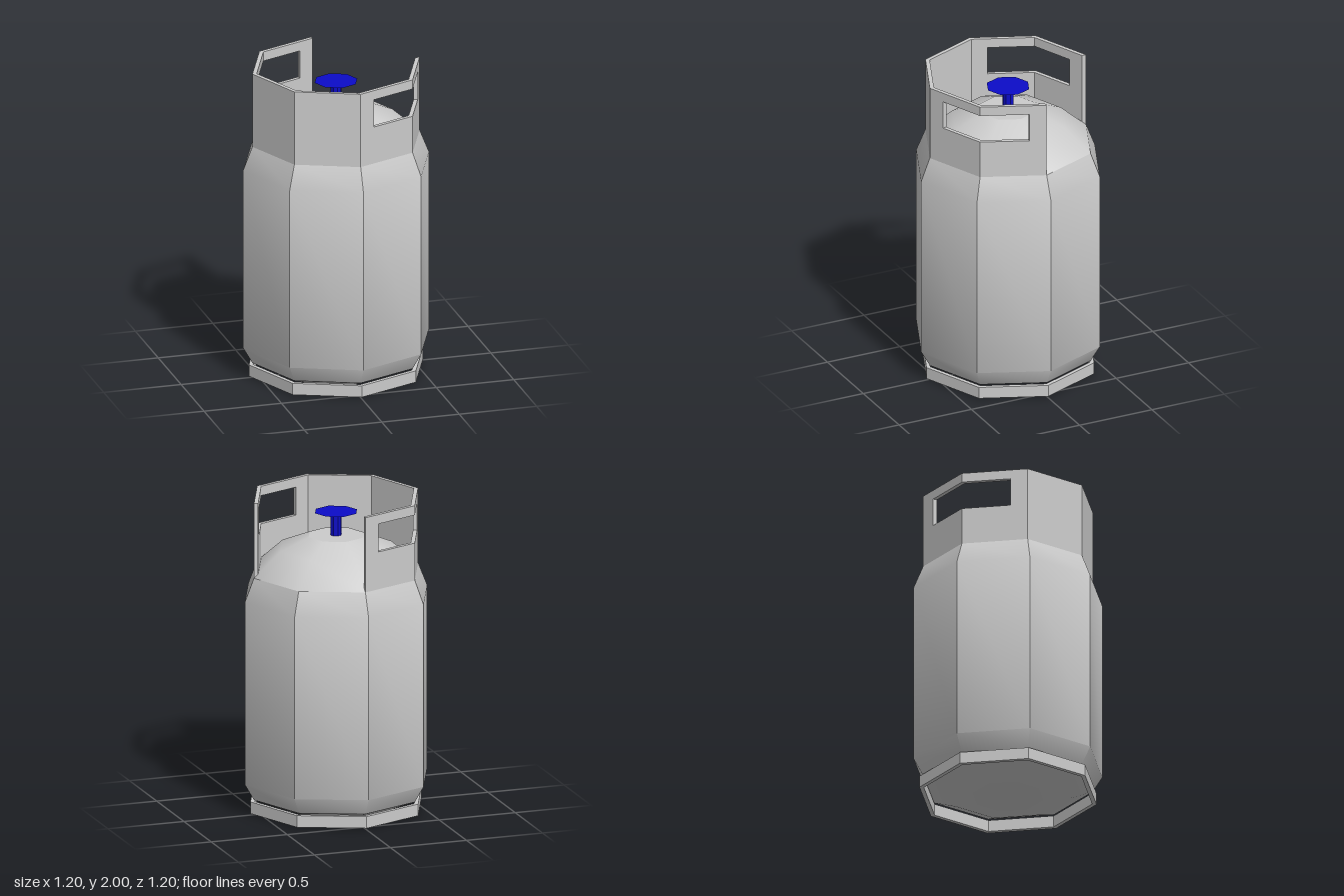
import * as THREE from 'three';
import { toCreasedNormals } from 'three/addons/utils/BufferGeometryUtils.js';

const SIDES = 8;
const grey = new THREE.MeshStandardMaterial({ color: 0xcccccc });
const blue = new THREE.MeshStandardMaterial({ color: 0x0c0cc8 });

function add(parent, name, geometry, material = grey, y = 0) {
  const mesh = new THREE.Mesh(geometry, material);
  mesh.name = name;
  mesh.position.y = y;
  parent.add(mesh);
  return mesh;
}

// Eight-sided turned part; upright corners stay sharp, shallow bends smooth
function turned(profile) {
  const points = profile.map(([r, y]) => new THREE.Vector2(r, y));
  return toCreasedNormals(new THREE.LatheGeometry(points, SIDES), 0.7);
}

// Guard collar: a grid of wall cells around six of the eight sides, two with a handle window
function collarGeometry() {
  const outer = 0.54, inner = 0.512;
  const stations = [0, 0.26, 1, 1.74, 2, 3, 4, 4.26, 5, 5.74, 6];
  const rows = [1.52, 1.76, 1.94, 2];
  const windowColumns = [1, 2, 7, 8];
  const positions = [];

  const solid = (i, j) =>
    i >= 0 && j >= 0 && i < stations.length - 1 && j < rows.length - 1 &&
    !(j === 1 && windowColumns.includes(i));

  // Point on the octagon: station 0 is at the back, counted through the right and front
  const corner = (k, r) => {
    const a = -Math.PI + k * Math.PI / 4;
    return new THREE.Vector3(Math.sin(a) * r, 0, Math.cos(a) * r);
  };
  const point = (i, j, r) => {
    const s = stations[i], k = Math.floor(s);
    const p = corner(k, r).lerp(corner(k + 1, r), s - k);
    p.y = rows[j];
    return p;
  };
  const quad = (a, b, c, d) => {
    for (const p of [a, b, c, a, c, d]) positions.push(p.x, p.y, p.z);
  };

  for (let i = 0; i < stations.length - 1; i++) {
    for (let j = 0; j < rows.length - 1; j++) {
      if (!solid(i, j)) continue;
      const o = [point(i, j, outer), point(i + 1, j, outer), point(i + 1, j + 1, outer), point(i, j + 1, outer)];
      const n = [point(i, j, inner), point(i + 1, j, inner), point(i + 1, j + 1, inner), point(i, j + 1, inner)];
      quad(o[0], o[1], o[2], o[3]);
      quad(n[1], n[0], n[3], n[2]);
      if (!solid(i, j - 1)) quad(n[0], n[1], o[1], o[0]);
      if (!solid(i + 1, j)) quad(o[1], n[1], n[2], o[2]);
      if (!solid(i, j + 1)) quad(o[3], o[2], n[2], n[3]);
      if (!solid(i - 1, j)) quad(n[0], o[0], o[3], n[3]);
    }
  }
  const geometry = new THREE.BufferGeometry();
  geometry.setAttribute('position', new THREE.Float32BufferAttribute(positions, 3));
  geometry.computeVertexNormals();
  return geometry;
}

export function createModel() {
  const model = new THREE.Group();
  model.name = 'gasBottle';

  // Tank: domed underside, straight wall, shoulder and dome
  add(model, 'underside', turned([[0, 0], [0.19, 0], [0.38, 0.03], [0.54, 0.095]]));
  add(model, 'tankWall', turned([[0.54, 0.095], [0.6, 0.2], [0.6, 1.37], [0.54, 1.52]]));
  add(model, 'dome', turned([[0.54, 1.52], [0.365, 1.675], [0.18, 1.75]]));
  add(model, 'domeCap', new THREE.CircleGeometry(0.18, SIDES).rotateX(-Math.PI / 2), grey, 1.75);

  // Foot ring
  add(model, 'footRing', turned([[0.535, 0.085], [0.535, 0.01], [0.563, 0.01], [0.563, 0.085], [0.535, 0.085]]));

  // Collar with handle windows
  add(model, 'collar', collarGeometry());

  // Valve: stem and shallow conical handwheel
  const valve = new THREE.Group();
  valve.name = 'valve';
  model.add(valve);
  add(valve, 'valveStem', turned([[0.035, 1.75], [0.035, 1.89]]), blue);
  add(valve, 'valveWheel', turned([[0.03, 1.88], [0.138, 1.9], [0, 1.9]]), blue);

  return model;
}
